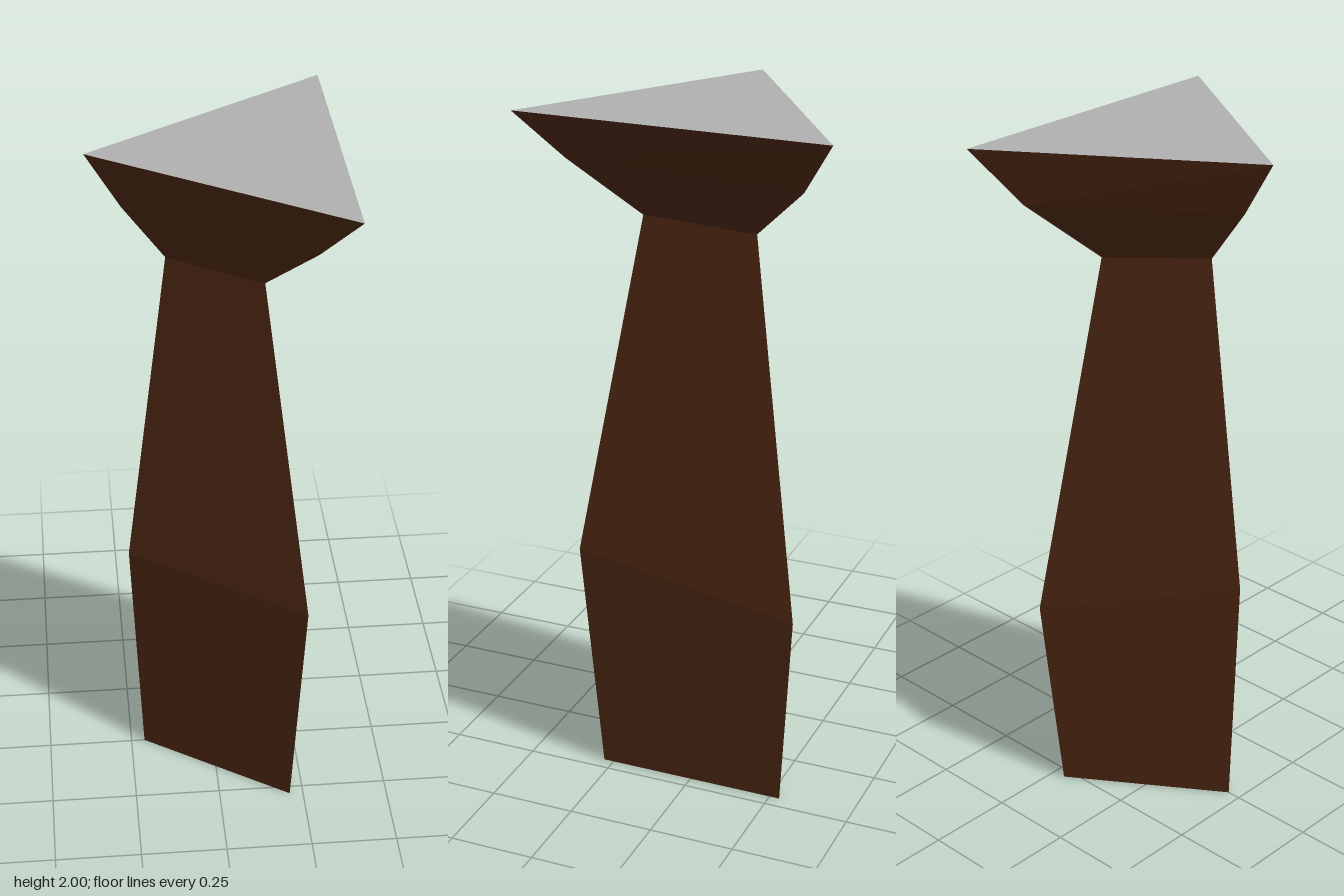
import * as THREE from 'three';

// Triangular cross-sections: [half depth in x, half width in z, heights of the point, left-front and left-back corners]
const RINGS = [
  [0.21, 0.28, 0, 0, 0],
  [0.243, 0.326, 0.72, 0.71, 0.6],
  [0.125, 0.165, 1.69, 1.69, 1.675],
  [0.24, 0.337, 1.845, 1.86, 1.84],
  [0.333, 0.445, 2, 2, 2],
];

// Three corners of one cross-section, counter-clockwise from above
const corners = ([x, z, yPoint, yFront, yBack]) => [
  [-x, yPoint, 0],
  [x, yFront, z],
  [x, yBack, -z],
];

function facetedMesh(name, triangles, material) {
  const geometry = new THREE.BufferGeometry();
  geometry.setAttribute('position', new THREE.Float32BufferAttribute(triangles.flat(2), 3));
  geometry.computeVertexNormals();
  const mesh = new THREE.Mesh(geometry, material);
  mesh.name = name;
  return mesh;
}

// Side walls joining consecutive cross-sections
function walls(rings) {
  const triangles = [];
  for (let r = 0; r < rings.length - 1; r++) {
    const low = rings[r], high = rings[r + 1];
    for (let i = 0; i < 3; i++) {
      const j = (i + 1) % 3;
      triangles.push([low[i], low[j], high[j]], [low[i], high[j], high[i]]);
    }
  }
  return triangles;
}

export function createModel() {
  const brown = new THREE.MeshStandardMaterial({ color: 0x4a2612 });
  brown.name = 'dark brown';
  const grey = new THREE.MeshStandardMaterial({ color: 0xb0b0b0 });
  grey.name = 'light grey';

  const rings = RINGS.map(corners);
  const base = rings[0], top = rings[rings.length - 1];
  const group = new THREE.Group();
  group.name = 'triangularPost';

  // Tapered shaft with its underside, flared head, flat top
  group.add(
    facetedMesh('shaft', [...walls(rings.slice(0, 3)), [base[0], base[2], base[1]]], brown),
    facetedMesh('flaredHead', walls(rings.slice(2)), brown),
    facetedMesh('topFace', [top], grey),
  );
  return group;
}
